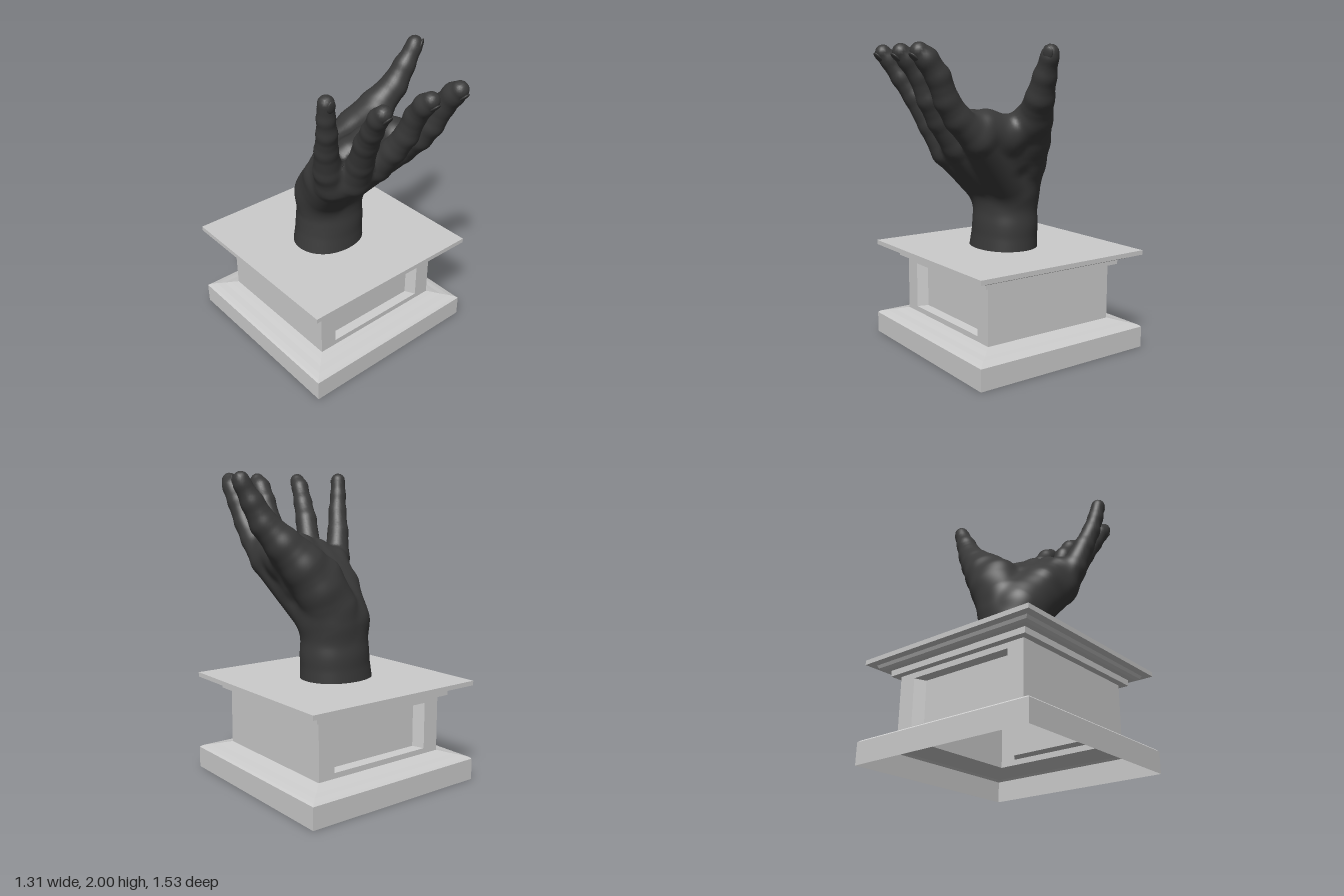
import * as THREE from 'three';

const stone = new THREE.MeshStandardMaterial({ color: 0xcccccc, side: THREE.DoubleSide, flatShading: true });
const bronze = new THREE.MeshStandardMaterial({ color: 0x3a3a3a, side: THREE.DoubleSide });

// Joints of each digit and palm mass: [x, y, z, radius]
const digits = {
  index: [[0.1, 1.06, -0.08, 0.14], [0.25, 1.42, 0.28, 0.107], [0.255, 1.55, 0.43, 0.085], [0.265, 1.66, 0.515, 0.075],
    [0.28, 1.8, 0.58, 0.072], [0.28, 1.9, 0.655, 0.067], [0.275, 1.943, 0.7, 0.054]],
  middle: [[0.02, 1.03, -0.08, 0.14], [0.035, 1.37, 0.29, 0.103], [0.045, 1.53, 0.43, 0.079], [0.06, 1.66, 0.515, 0.071],
    [0.06, 1.8, 0.575, 0.065], [0.05, 1.9, 0.65, 0.062], [0.05, 1.943, 0.695, 0.052]],
  ring: [[-0.06, 1.03, -0.08, 0.14], [-0.13, 1.32, 0.27, 0.103], [-0.165, 1.49, 0.37, 0.08], [-0.205, 1.67, 0.46, 0.072],
    [-0.235, 1.79, 0.54, 0.063], [-0.26, 1.9, 0.61, 0.057], [-0.265, 1.945, 0.65, 0.05]],
  little: [[-0.1, 1.0, -0.1, 0.14], [-0.21, 1.28, 0.165, 0.112], [-0.28, 1.41, 0.205, 0.088], [-0.335, 1.59, 0.26, 0.07],
    [-0.37, 1.73, 0.31, 0.06], [-0.395, 1.84, 0.335, 0.052], [-0.41, 1.945, 0.355, 0.049]],
  thumb: [[0.05, 1.03, -0.15, 0.15], [0.14, 1.25, -0.14, 0.152], [0.235, 1.4, -0.11, 0.143], [0.355, 1.54, -0.065, 0.115],
    [0.465, 1.67, -0.02, 0.088], [0.535, 1.8, 0.0, 0.07], [0.595, 1.91, 0.015, 0.053], [0.605, 1.94, 0.015, 0.049]],
};
const masses = [
  [[-0.077, 0.58, -0.105, 0.212], [-0.05, 0.82, -0.11, 0.195], [-0.055, 1.02, -0.105, 0.19]], // wrist
  [[0.008, 0.58, -0.105, 0.212], [0.022, 0.82, -0.11, 0.195], [0.03, 1.02, -0.11, 0.19]],
  [[0.18, 1.3, 0.0, 0.13], [0.24, 1.43, 0.07, 0.12], [0.31, 1.5, -0.02, 0.1]],              // thumb web
  [[0.24, 1.43, 0.07, 0.12], [0.24, 1.49, 0.23, 0.11]],
  [[0.02, 1.14, -0.16, 0.14], [0.1, 1.33, -0.12, 0.13], [0.25, 1.47, -0.06, 0.11]],         // ball of the thumb
  [[-0.1, 1.05, -0.13, 0.14], [-0.17, 1.25, 0.02, 0.12], [-0.2, 1.38, 0.13, 0.095]],        // heel of palm
  [[0.2, 1.5, 0.19, 0.095], [0.05, 1.5, 0.2, 0.09], [-0.08, 1.46, 0.19, 0.09], [-0.2, 1.4, 0.14, 0.085]], // pads below the fingers
  [[-0.08, 1.12, -0.1, 0.13], [-0.09, 1.3, 0.03, 0.115], [-0.09, 1.44, 0.17, 0.09]],        // palm centre
  [[0.0, 1.12, -0.1, 0.14], [0.02, 1.32, 0.02, 0.12], [0.04, 1.47, 0.17, 0.095]],
  [[0.08, 1.12, -0.08, 0.14], [0.13, 1.35, 0.03, 0.12], [0.16, 1.48, 0.17, 0.098]],
];
const chains = [...Object.values(digits), ...masses];

// Smooth union of two distances
function blend(a, b, k) {
  const h = Math.max(k - Math.abs(a - b), 0) / k;
  return Math.min(a, b) - h * h * k / 4;
}

// Distance from a point to a tapered rod
function rod(x, y, z, a, b) {
  const ux = b[0] - a[0], uy = b[1] - a[1], uz = b[2] - a[2];
  const dx = x - a[0], dy = y - a[1], dz = z - a[2];
  const t = Math.min(1, Math.max(0, (dx * ux + dy * uy + dz * uz) / (ux * ux + uy * uy + uz * uz)));
  return Math.hypot(dx - t * ux, dy - t * uy, dz - t * uz) - a[3] - t * (b[3] - a[3]);
}

function handDistance(x, y, z) {
  let total = 9;
  for (const c of chains) {
    let d = 9;
    for (let i = 1; i < c.length; i++) d = blend(d, rod(x, y, z, c[i - 1], c[i]), 0.02);
    total = blend(total, d, 0.045);
  }
  return total;
}

function gradient(p) {
  const e = 0.012, f = handDistance;
  return new THREE.Vector3(
    f(p.x + e, p.y, p.z) - f(p.x - e, p.y, p.z),
    f(p.x, p.y + e, p.z) - f(p.x, p.y - e, p.z),
    f(p.x, p.y, p.z + e) - f(p.x, p.y, p.z - e)).normalize();
}

// Skin over the blended rods: one vertex per crossed grid cell, one quad per crossed grid edge
function skin(min, max, step) {
  const n = min.map((m, i) => Math.ceil((max[i] - m) / step) + 1);
  const stride = [1, n[0], n[0] * n[1]];
  const field = new Float32Array(n[0] * n[1] * n[2]);
  const each = (fn) => {
    for (let k = 0; k < n[2]; k++) for (let j = 0; j < n[1]; j++) for (let i = 0; i < n[0]; i++)
      fn([i, j, k], i + j * stride[1] + k * stride[2]);
  };
  each((c, id) => { field[id] = handDistance(...c.map((v, a) => min[a] + v * step)); });

  const positions = [], normals = [], indices = [], vertexOf = new Map();
  each((c, id) => {
    if (c.some((v, a) => v >= n[a] - 1)) return;
    let inside = 0;
    for (let m = 0; m < 8; m++)
      if (field[id + (m & 1) + (m >> 1 & 1) * stride[1] + (m >> 2) * stride[2]] < 0) inside++;
    if (inside === 0 || inside === 8) return;
    const p = new THREE.Vector3(...c.map((v, a) => min[a] + (v + 0.5) * step));
    for (let s = 0; s < 2; s++) p.addScaledVector(gradient(p), -handDistance(p.x, p.y, p.z));
    vertexOf.set(id, positions.length / 3);
    positions.push(p.x, p.y, p.z);
    normals.push(...gradient(p).toArray());
  });
  each((c, id) => {
    for (let a = 0; a < 3; a++) {
      const b = (a + 1) % 3, d = (a + 2) % 3;
      if (c[a] >= n[a] - 1 || c[b] < 1 || c[d] < 1) continue;
      const inA = field[id] < 0, inB = field[id + stride[a]] < 0;
      if (inA === inB) continue;
      const q = [id - stride[b] - stride[d], id - stride[d], id, id - stride[b]].map((v) => vertexOf.get(v));
      if (q.includes(undefined)) continue;
      if (inB) q.reverse();
      indices.push(q[0], q[1], q[2], q[0], q[2], q[3]);
    }
  });
  const g = new THREE.BufferGeometry();
  g.setAttribute('position', new THREE.Float32BufferAttribute(positions, 3));
  g.setAttribute('normal', new THREE.Float32BufferAttribute(normals, 3));
  g.setIndex(indices);
  return g;
}

// Loft through rectangles [halfWidth, halfHeight, z]
function rectLoft(rows) {
  const positions = [], indices = [];
  for (const [w, h, z] of rows) positions.push(-w, -h, z, w, -h, z, w, h, z, -w, h, z);
  for (let r = 0; r < rows.length - 1; r++) for (let j = 0; j < 4; j++) {
    const a = r * 4 + j, b = r * 4 + (j + 1) % 4;
    indices.push(a, b, b + 4, a, b + 4, a + 4);
  }
  const g = new THREE.BufferGeometry();
  g.setAttribute('position', new THREE.Float32BufferAttribute(positions, 3));
  g.setIndex(indices);
  const flat = g.toNonIndexed();
  flat.computeVertexNormals();
  return flat;
}

export function createModel() {
  const model = new THREE.Group();
  const add = (name, geometry, material, parent = model) => {
    const mesh = new THREE.Mesh(geometry, material);
    mesh.name = name;
    parent.add(mesh);
    return mesh;
  };

  // Square pedestal, open underneath
  const pedestal = new THREE.Group();
  pedestal.name = 'pedestal';
  pedestal.position.z = -0.11;
  model.add(pedestal);
  const moulding = (name, profile) =>
    add(name, rectLoft(profile.map(([w, y]) => [w, w, y])).rotateX(-Math.PI / 2), stone, pedestal);
  moulding('foot', [[0.65, 0], [0.65, 0.14], [0.635, 0.152], [0.6, 0.162], [0.56, 0.17], [0.525, 0.18], [0.485, 0.19]]);
  moulding('cornice', [[0.485, 0.565], [0.53, 0.565], [0.53, 0.603], [0.565, 0.605], [0.585, 0.615], [0.595, 0.634],
    [0.645, 0.635], [0.645, 0.665], [0, 0.665]]);

  // Front and back have a recessed panel, the sides are plain
  for (let i = 0; i < 4; i++) {
    const outline = [[0.485, 0.19, 0.485]];
    if (i % 2 === 0) outline.push([0.37, 0.152, 0.485], [0.325, 0.143, 0.425], [0, 0, 0.425]);
    else outline.push([0, 0, 0.485]);
    const wall = add(i % 2 ? 'sideWall' : 'panelWall', rectLoft(outline), stone, pedestal);
    wall.position.y = 0.377;
    wall.rotation.y = i * Math.PI / 2;
  }

  // Open hand rising from the pedestal
  const hand = new THREE.Group();
  hand.name = 'hand';
  model.add(hand);
  add('palmAndFingers', skin([-0.54, 0.64, -0.42], [0.74, 2.06, 0.84], 0.018), bronze, hand);

  // Fingernails on the outer side of each tip
  for (const [name, joints] of Object.entries(digits)) {
    const [a, tip] = joints.slice(-2);
    const along = new THREE.Vector3(tip[0] - a[0], tip[1] - a[1], tip[2] - a[2]).normalize();
    const out = new THREE.Vector3(name === 'thumb' ? 0.6 : 0, -0.2, 1).projectOnPlane(along).normalize();
    const side = new THREE.Vector3().crossVectors(along, out);
    const nail = add(name + 'Nail', new THREE.SphereGeometry(1, 16, 10).scale(0.03, 0.04, 0.01), bronze, hand);
    nail.quaternion.setFromRotationMatrix(new THREE.Matrix4().makeBasis(side, along, out));
    nail.position.set(tip[0], tip[1], tip[2]).addScaledVector(out, tip[3] * 0.95);
  }
  return model;
}
